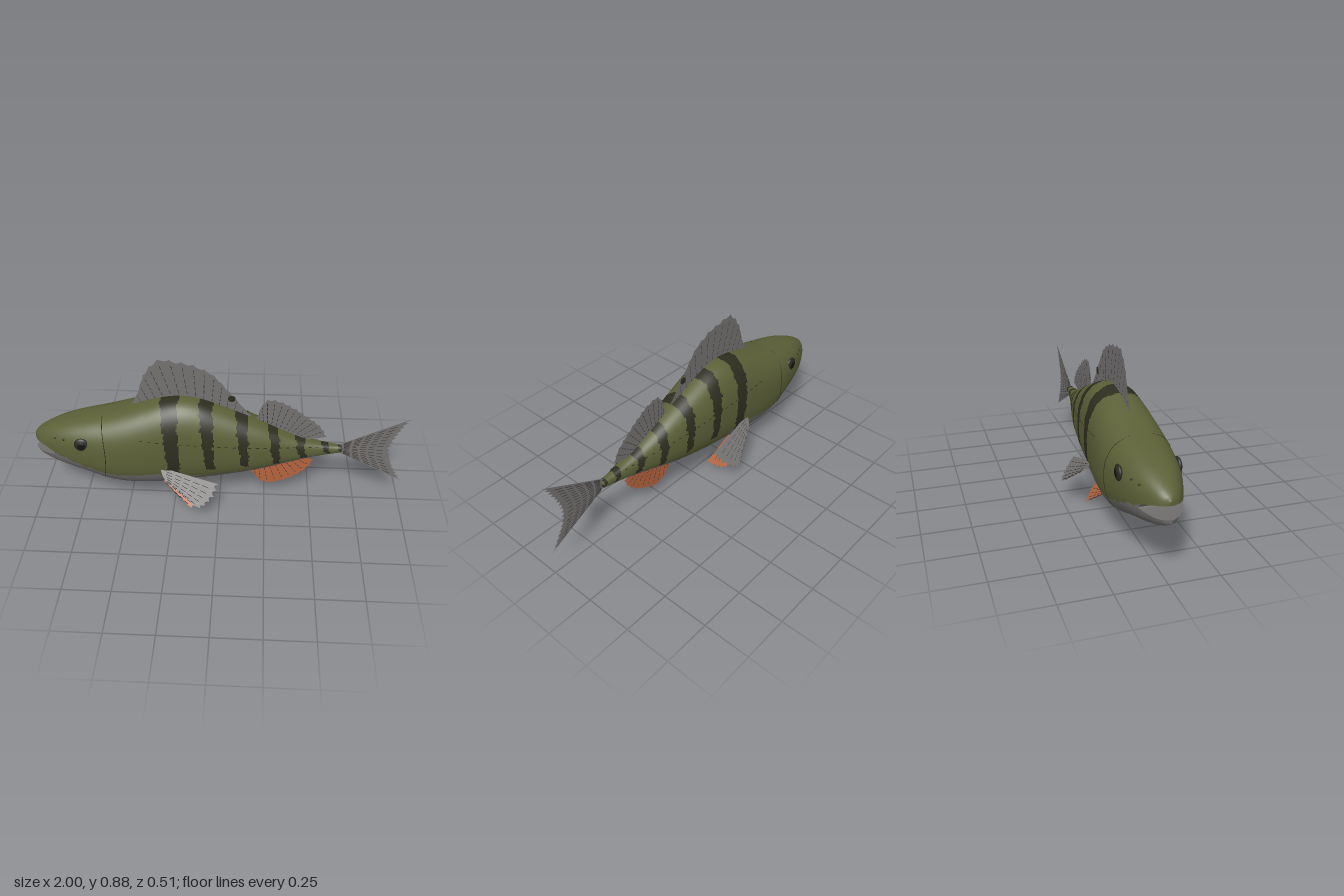
import * as THREE from 'three';

const paint = (name, color, side = THREE.FrontSide) => {
  const m = new THREE.MeshStandardMaterial({ color, side });
  m.name = name;
  return m;
};

// Body stations: x, top y, bottom y, half width, height of the belly colour line
const STATIONS = [
  [-1, 0.405, 0.298, 0.012, 0.38], [-0.985, 0.425, 0.287, 0.042, 0.378], [-0.95, 0.45, 0.268, 0.07, 0.368],
  [-0.88, 0.484, 0.243, 0.105, 0.345], [-0.8, 0.512, 0.22, 0.133, 0.32], [-0.7, 0.538, 0.188, 0.156, 0.28],
  [-0.6, 0.562, 0.15, 0.17, 0.25], [-0.5, 0.592, 0.13, 0.174, 0.245], [-0.4, 0.624, 0.124, 0.17, 0.25],
  [-0.3, 0.653, 0.128, 0.163, 0.25], [-0.2, 0.665, 0.145, 0.156, 0.24], [-0.1, 0.65, 0.158, 0.148, 0.222],
  [0, 0.613, 0.175, 0.138, 0.228], [0.2, 0.527, 0.218, 0.11, 0.262], [0.4, 0.432, 0.275, 0.066, 0.305],
  [0.5, 0.397, 0.301, 0.044, 0.322], [0.6, 0.376, 0.32, 0.026, 0.33], [0.66, 0.37, 0.33, 0.021, 0.336],
];
const POWER = 2.4;

// Cubic interpolation of one station column
function at(x, col) {
  const S = STATIONS, last = S.length - 1;
  let i = 0;
  while (i < last - 1 && x > S[i + 1][0]) i++;
  const slope = k => {
    const a = S[Math.max(k - 1, 0)], b = S[Math.min(k + 1, last)];
    return (b[col] - a[col]) / (b[0] - a[0]);
  };
  const h = S[i + 1][0] - S[i][0], t = (x - S[i][0]) / h, t2 = t * t, t3 = t2 * t;
  return (2 * t3 - 3 * t2 + 1) * S[i][col] + (t3 - 2 * t2 + t) * h * slope(i)
    + (3 * t2 - 2 * t3) * S[i + 1][col] + (t3 - t2) * h * slope(i + 1);
}

function sidePoint(x, y) {
  const top = at(x, 1), bot = at(x, 2);
  const t = Math.min(1, Math.abs((2 * y - top - bot) / (top - bot)));
  return at(x, 3) * Math.pow(1 - Math.pow(t, POWER), 1 / POWER);
}

// Dark bars: centre x, half width, lowest y
const BARS = [[-0.25, 0.044, 0.24], [-0.06, 0.036, 0.28], [0.125, 0.031, 0.295],
  [0.295, 0.027, 0.29], [0.435, 0.024, 0.315], [0.572, 0.018, 0.33], [0.652, 0.01, 0.33]];
function skin(x, y) {
  const ripple = Math.sin(y * 70 + x * 9) * 0.004 + Math.sin(y * 173) * 0.003;
  if (y < at(x, 4) + Math.sin(x * 90) * 0.004) return 1;
  const top = at(x, 1);
  for (const [c, w, low] of BARS) {
    const f = (top - y) / (top - low);
    if (f < 1 && Math.abs(x - c - 0.025 * (f - 0.4) - ripple) < w * (1 - 0.35 * f)) return 2;
  }
  return 0;
}

// Skin lofted through rings; clamp flattens rings for the open jaws
function loft(name, x0, x1, rows, sides, ease, materials, clamp, capStart, capEnd) {
  const pos = [], faces = [[], [], []];
  for (let i = 0; i <= rows; i++) {
    const x = x0 + (x1 - x0) * Math.pow(i / rows, ease);
    const s = (capStart && i === 0) || (capEnd && i === rows) ? 0 : 1;
    const top = at(x, 1), bot = at(x, 2), w = at(x, 3);
    for (let j = 0; j < sides; j++) {
      const a = j / sides * Math.PI * 2, c = Math.cos(a), n = Math.sin(a), e = 2 / POWER;
      const y = (top + bot) / 2 + s * (top - bot) / 2 * Math.sign(n) * Math.pow(Math.abs(n), e);
      pos.push(x, clamp(x, y), s * w * Math.sign(c) * Math.pow(Math.abs(c), e));
    }
  }
  for (let i = 0; i < rows; i++) for (let j = 0; j < sides; j++) {
    const k = (j + 1) % sides;
    const a = i * sides + j, b = a + sides, c = b - j + k, d = i * sides + k;
    const x = (pos[3 * a] + pos[3 * b]) / 2;
    const y = (pos[3 * a + 1] + pos[3 * b + 1] + pos[3 * c + 1] + pos[3 * d + 1]) / 4;
    faces[skin(x, y)].push(a, b, c, a, c, d);
  }
  const g = new THREE.BufferGeometry();
  g.setAttribute('position', new THREE.Float32BufferAttribute(pos, 3));
  g.setIndex(faces.flat());
  let start = 0;
  faces.forEach((f, m) => { g.addGroup(start, f.length, m); start += f.length; });
  g.computeVertexNormals();
  const mesh = new THREE.Mesh(g, materials);
  mesh.name = name;
  return mesh;
}

// Fin membrane spread between a base line and a scalloped edge, with thin rays on it
function fin(name, base, edge, rays, material, rayMaterial, depth = () => 0) {
  const curve = pts => new THREE.CatmullRomCurve3(pts.map(p => new THREE.Vector3(p[0], p[1], 0)), false, 'centripetal');
  const cb = curve(base), ce = curve(edge), n = rays * 4;
  const point = (t, v) => {
    const scallop = 0.06 * Math.abs(Math.sin(t * rays * Math.PI));
    const p = cb.getPointAt(t).lerp(ce.getPointAt(t), v * (1 - scallop));
    p.z = depth(p.x, p.y);
    return p;
  };
  const strip = quads => {
    const pos = [];
    for (const [a, b, c, d] of quads) for (const p of [a, b, c, a, c, d]) pos.push(p.x, p.y, p.z);
    const g = new THREE.BufferGeometry();
    g.setAttribute('position', new THREE.Float32BufferAttribute(pos, 3));
    g.computeVertexNormals();
    return g;
  };
  const sheet = [], lines = [];
  for (let i = 0; i < n; i++) sheet.push([point(i / n, 0), point((i + 1) / n, 0), point((i + 1) / n, 1), point(i / n, 1)]);
  for (let r = 1; r < rays; r++) for (const z of [-0.002, 0.002]) for (let k = 0; k < 5; k++) {
    const lift = p => { p.z += z; return p; };
    const t = r / rays, v0 = 0.1 + k * 0.16, v1 = v0 + 0.11;
    const a = lift(point(t, v0)), b = lift(point(t, v1));
    const side = new THREE.Vector3(a.y - b.y, b.x - a.x, 0).setLength(0.0016);
    lines.push([a.clone().sub(side), a.clone().add(side), b.clone().add(side), b.clone().sub(side)]);
  }
  const group = new THREE.Group();
  group.name = name;
  const web = new THREE.Mesh(strip(sheet), material), ray = new THREE.Mesh(strip(lines), rayMaterial);
  web.name = name + 'Membrane';
  ray.name = name + 'Rays';
  group.add(web, ray);
  return group;
}

export function createModel() {
  const fish = new THREE.Group();
  fish.name = 'fish';
  const olive = paint('olive back', 0x5b6037), belly = paint('grey belly', 0x6e6c6b), bar = paint('dark bars', 0x2d2d20);
  const grey = paint('grey fin', 0x737170, THREE.DoubleSide), orange = paint('orange fin', 0xb5633d, THREE.DoubleSide);
  const rayDark = paint('fin rays', 0x3b3632, THREE.DoubleSide), eyeDark = paint('eye', 0x2a2a24), black = paint('pupil', 0x141412);
  const coat = [olive, belly, bar];
  const add = (name, geometry, material, x, y, z) => {
    const m = new THREE.Mesh(geometry, material);
    m.name = name;
    m.position.set(x, y, z);
    fish.add(m);
    return m;
  };

  // Trunk and open jaws
  const gape = x => Math.sqrt(Math.max(0, (-0.88 - x) / 0.12));
  fish.add(loft('body', -0.88, 0.66, 250, 96, 1, coat, (x, y) => y, false, true));
  fish.add(loft('upperJaw', -1, -0.88, 30, 96, 2, coat, (x, y) => Math.max(y, 0.335 + 0.05 * gape(x)), true, false));
  fish.add(loft('lowerJaw', -1, -0.88, 30, 96, 2, coat, (x, y) => Math.min(y, 0.335 - 0.017 * gape(x)), true, false));

  // Median fins
  fish.add(fin('frontDorsalFin', [[-0.45, 0.59], [-0.3, 0.64], [-0.2, 0.655], [-0.05, 0.62], [0.15, 0.535]],
    [[-0.46, 0.61], [-0.43, 0.67], [-0.4, 0.77], [-0.36, 0.84], [-0.31, 0.882], [-0.22, 0.872], [-0.15, 0.86], [-0.1, 0.838],
      [-0.04, 0.805], [0.02, 0.735], [0.07, 0.67], [0.12, 0.605], [0.165, 0.55]], 15, grey, rayDark));
  fish.add(fin('rearDorsalFin', [[0.19, 0.52], [0.3, 0.47], [0.46, 0.4]],
    [[0.2, 0.54], [0.215, 0.61], [0.25, 0.655], [0.32, 0.645], [0.4, 0.6], [0.48, 0.54], [0.54, 0.485], [0.57, 0.425]], 13, grey, rayDark));
  fish.add(fin('analFin', [[0.13, 0.215], [0.28, 0.25], [0.42, 0.29]],
    [[0.14, 0.205], [0.19, 0.15], [0.23, 0.1], [0.28, 0.087], [0.36, 0.115], [0.44, 0.165], [0.49, 0.22], [0.51, 0.267]], 11, orange, rayDark));
  fish.add(fin('tailFin', [[0.63, 0.37], [0.64, 0.35], [0.63, 0.33]],
    [[1, 0.557], [0.955, 0.47], [0.925, 0.4], [0.915, 0.35], [0.925, 0.28], [0.96, 0.21], [1, 0.138]], 16, grey, rayDark));
  for (const z of [-0.003, 0.003]) add('finSpot', new THREE.CircleGeometry(0.02, 16), bar, 0.062, 0.655, z).rotation.y = z < 0 ? Math.PI : 0;

  for (const s of [1, -1]) {
    const side = s > 0 ? 'left' : 'right';
    // Paired fins lean outward
    fish.add(fin(side + 'PectoralFin', [[-0.31, 0.3], [-0.3, 0.27], [-0.28, 0.24]],
      [[0, 0.205], [-0.02, 0.16], [-0.06, 0.125], [-0.1, 0.113], [-0.14, 0.14]], 7, grey, rayDark,
      (x, y) => s * (0.327 - 0.203 * x - 0.81 * y)));
    fish.add(fin(side + 'PelvicFin', [[-0.33, 0.14], [-0.32, 0.135], [-0.31, 0.125]],
      [[-0.06, 0.052], [-0.1, 0.02], [-0.15, 0], [-0.19, 0.03]], 6, orange, rayDark,
      (x, y) => s * (0.098 - 0.245 * x - 0.953 * y)));

    // Eye, pupil and nostrils
    add(side + 'Eye', new THREE.SphereGeometry(0.04, 24, 16), eyeDark, -0.72, 0.43, s * (sidePoint(-0.72, 0.43) - 0.004)).scale.z = 0.4;
    add(side + 'Pupil', new THREE.SphereGeometry(0.02, 20, 12), black, -0.72, 0.43, s * (sidePoint(-0.72, 0.43) + 0.009)).scale.z = 0.25;
    for (const [x, y] of [[-0.82, 0.44], [-0.87, 0.435]])
      add(side + 'Nostril', new THREE.SphereGeometry(0.006, 10, 8), bar, x, y, s * sidePoint(x, y));

    // Gill seam and dashed lateral line
    const seam = [];
    for (let k = 0; k <= 20; k++) {
      const y = 0.2 + 0.353 * k / 20, x = -0.615 + 0.02 * Math.sin(k / 20 * Math.PI);
      seam.push(new THREE.Vector3(x, y, s * sidePoint(x, y)));
    }
    add(side + 'GillSeam', new THREE.TubeGeometry(new THREE.CatmullRomCurve3(seam), 40, 0.0018, 6), bar, 0, 0, 0);
    for (let x = -0.4; x < 0.6; x += 0.04) {
      const y = 0.35 + 0.13 * Math.pow((0.66 - x) / 1.06, 0.8);
      add(side + 'LateralLineScale', new THREE.BoxGeometry(0.018, 0.003, 0.004), bar, x, y, s * sidePoint(x, y));
    }
  }
  return fish;
}
